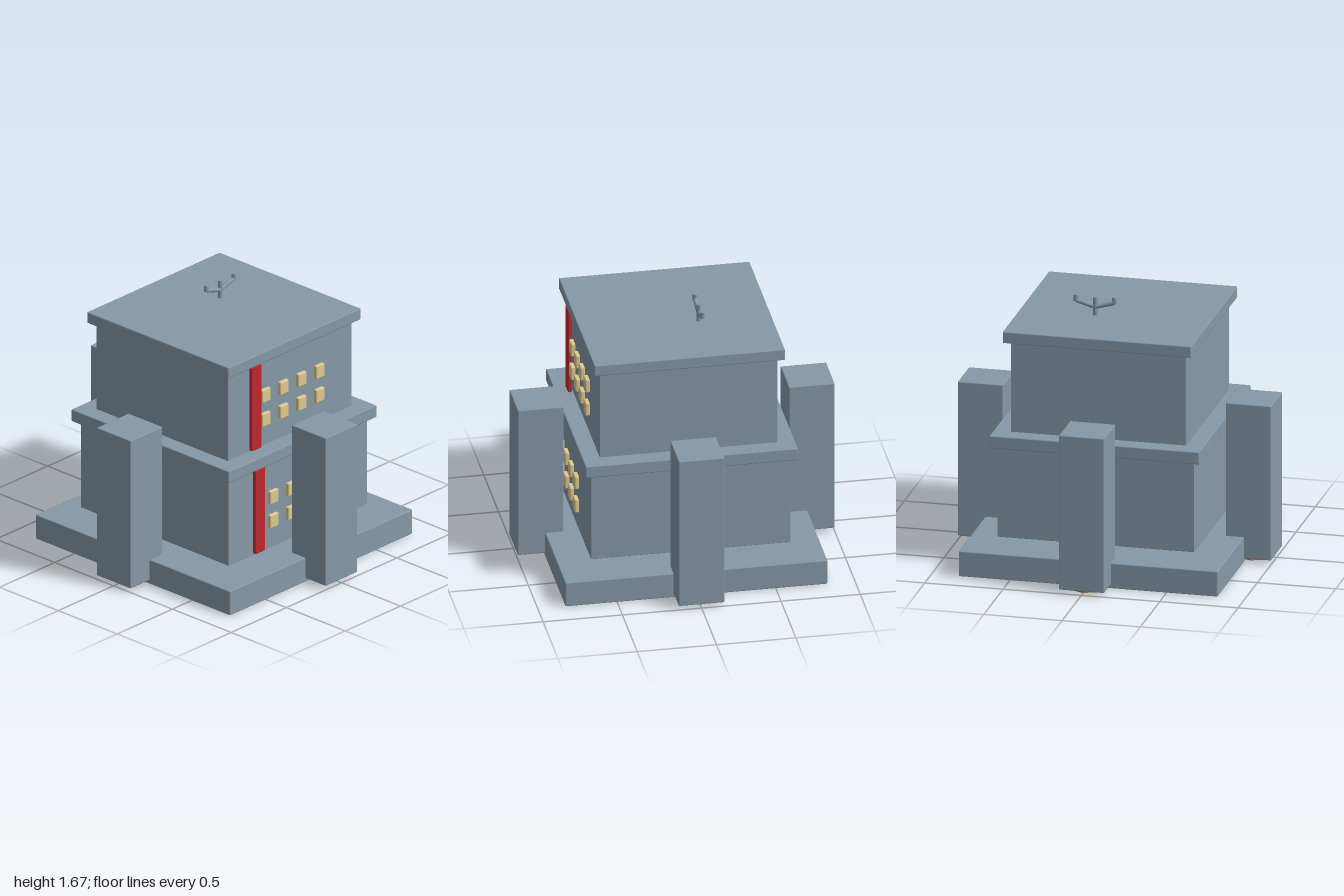
import * as THREE from 'three';
import { RoundedBoxGeometry } from 'three/addons/geometries/RoundedBoxGeometry.js';

const material = (name, color) => {
  const m = new THREE.MeshStandardMaterial({ color });
  m.name = name;
  return m;
};

export function createModel() {
  const model = new THREE.Group();
  model.name = 'building';
  const slate = material('slate', 0x8699a8);
  const red = material('red', 0xc0282d);
  const cream = material('cream', 0xe0cb90);
  const brown = material('brown', 0xad7d3a);

  const add = (name, geometry, mat, x, y, z, parent = model) => {
    const mesh = new THREE.Mesh(geometry, mat);
    mesh.name = name;
    mesh.position.set(x, y, z);
    parent.add(mesh);
  };
  // softly bevelled box between two heights
  const block = (name, mat, w, y0, y1, d, x = 0, z = 0, bevel = 0.007, parent = model) =>
    add(name, new RoundedBoxGeometry(w, y1 - y0, d, 1, bevel), mat, x, (y0 + y1) / 2, z, parent);

  // stacked body, with a clear gap above the base
  block('base', slate, 1.654, 0, 0.165, 1.654);
  block('lowerStorey', slate, 1.257, 0.21, 0.802, 1.257, 0, 0, 0.003);
  block('lowerCornice', slate, 1.34, 0.80, 0.881, 1.34);
  block('upperStorey', slate, 1.12, 0.878, 1.472, 1.12, 0, 0, 0.003);
  block('roof', slate, 1.203, 1.47, 1.545, 1.203);

  // one pillar on an octagonal foot at the middle of each side
  for (let i = 0; i < 4; i++) {
    const pillar = new THREE.Group();
    pillar.name = 'pillar';
    pillar.rotation.y = i * Math.PI / 2;
    model.add(pillar);
    block('pillarShaft', slate, 0.29, 0.025, 1.036, 0.29, 0, 0.855, 0.007, pillar);
    const foot = new THREE.CylinderGeometry(0.097, 0.097, 0.03, 8).toNonIndexed();
    foot.computeVertexNormals();
    add('pillarFoot', foot, brown, 0, 0.015, 0.855, pillar);
  }

  // banners and window grids on the front of both storeys
  const storeys = [
    { name: 'lower', bannerX: -0.38, y0: 0.23, y1: 0.80, face: 0.628, rows: [0.402, 0.565] },
    { name: 'upper', bannerX: -0.34, y0: 0.898, y1: 1.468, face: 0.56, rows: [1.072, 1.235] },
  ];
  for (const s of storeys) {
    block(s.name + 'Banner', red, 0.09, s.y0, s.y1, 0.025, s.bannerX, s.face + 0.028, 0.007);
    for (const y of s.rows)
      for (let c = 0; c < 4; c++)
        block(s.name + 'Window', cream, 0.075, y - 0.045, y + 0.045, 0.029,
          -0.248 + c * 0.163, s.face + 0.023, 0.008);
  }

  // three-pronged roof antenna
  const antenna = new THREE.Group();
  antenna.name = 'antenna';
  antenna.position.set(0.121, 1.54, -0.146);
  model.add(antenna);
  add('antennaPost', new THREE.CylinderGeometry(0.0155, 0.0155, 0.122, 12), slate, 0, 0.061, 0, antenna);
  for (const side of [-1, 1]) {
    const path = new THREE.LineCurve3(new THREE.Vector3(0, 0.058, 0), new THREE.Vector3(side * 0.122, 0.093, 0));
    add('antennaArm', new THREE.TubeGeometry(path, 1, 0.0145, 12), slate, 0, 0, 0, antenna);
    add('antennaTip', new THREE.CylinderGeometry(0.0155, 0.0155, 0.04, 12), slate, side * 0.123, 0.108, 0, antenna);
  }
  return model;
}
